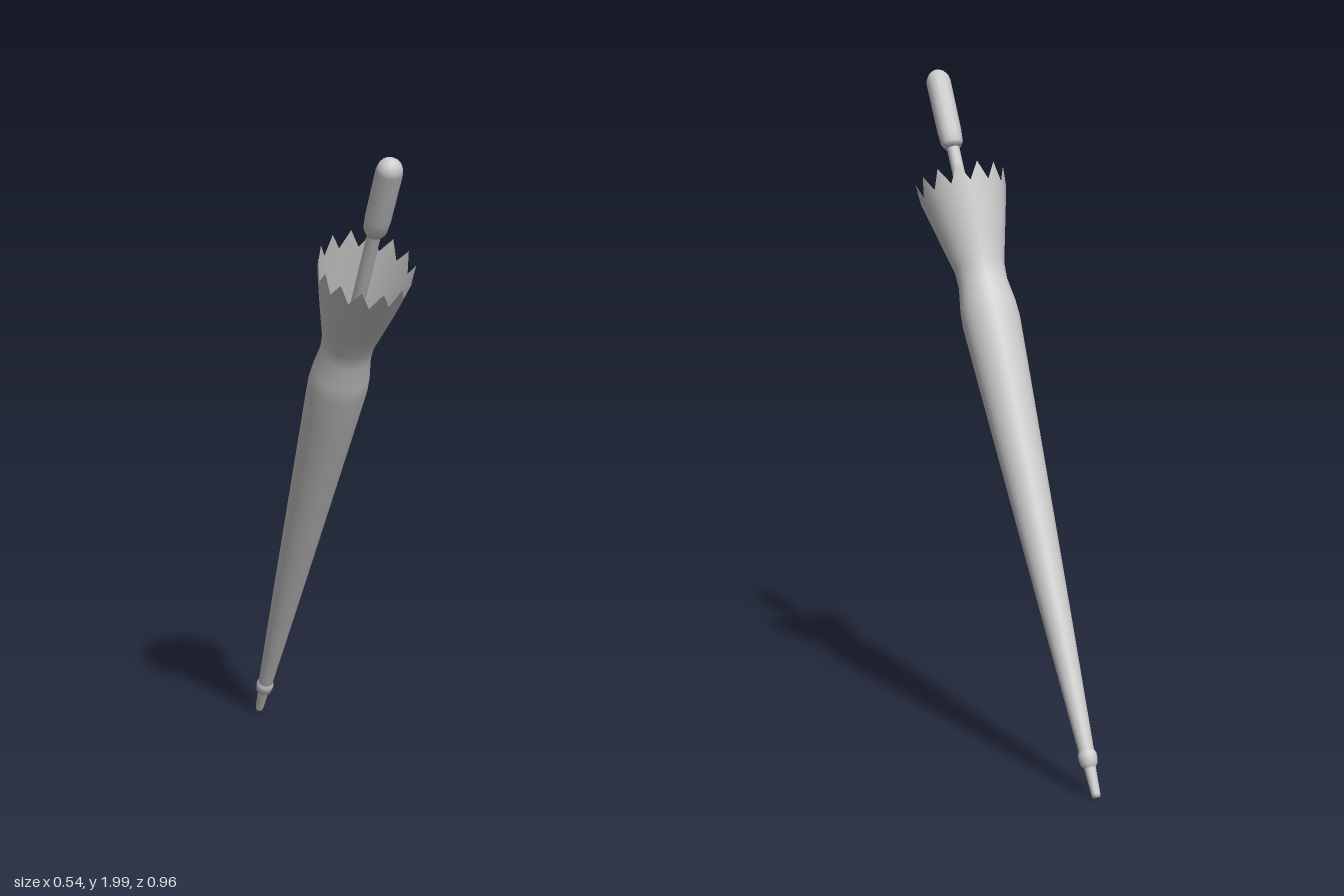
import * as THREE from 'three';

const SEGMENTS = 28;
const grey = new THREE.MeshStandardMaterial({ color: 0xcccccc });
const cloth = new THREE.MeshStandardMaterial({ color: 0xcccccc, side: THREE.DoubleSide });

// Profiles are [radius, distance along the shaft] from the tip upwards
function lathe(name, profile, segments, material = grey) {
  const points = profile.map(([r, t]) => new THREE.Vector2(r, t));
  const mesh = new THREE.Mesh(new THREE.LatheGeometry(points, segments), material);
  mesh.name = name;
  return mesh;
}

// Folded cloth, pinched at the strap, with a zigzag hem
function makeCanopy() {
  const profile = [
    [0.021, 0.11], [0.041, 0.5], [0.063, 0.95], [0.08, 1.3], [0.086, 1.43], [0.083, 1.48],
    [0.073, 1.55], [0.075, 1.6], [0.092, 1.67], [0.111, 1.75], [0.13, 1.83],
  ];
  const canopy = lathe('canopy', profile, SEGMENTS, cloth);
  const pos = canopy.geometry.attributes.position;
  const rows = profile.length;
  for (let s = 0; s <= SEGMENTS; s++) {
    if (s % 2) continue;
    const i = s * rows + rows - 1;
    pos.setXYZ(i, pos.getX(i) * 1.05, 1.885, pos.getZ(i) * 1.05);
  }
  canopy.geometry.computeBoundingSphere();
  return canopy;
}

// Rounded grip
function makeHandle() {
  const profile = [[0, 1.985], [0.024, 1.985], [0.033, 2.0], [0.036, 2.04], [0.037, 2.2]];
  for (let k = 1; k <= 4; k++) {
    const a = (k / 4) * Math.PI / 2;
    profile.push([0.037 * Math.cos(a), 2.2 + 0.04 * Math.sin(a)]);
  }
  return lathe('handle', profile, 12);
}

export function createModel() {
  const group = new THREE.Group();
  group.name = 'closedUmbrella';
  const body = new THREE.Group();
  body.name = 'umbrella';

  body.add(lathe('tip', [[0, 0], [0.011, 0], [0.013, 0.01], [0.018, 0.11]], 12));
  body.add(lathe('collar', [[0.016, 0.085], [0.024, 0.095], [0.027, 0.112], [0.027, 0.124], [0.022, 0.135]], 16));
  body.add(makeCanopy());
  body.add(lathe('shaft', [[0.019, 0.11], [0.019, 2.0]], 12));
  body.add(makeHandle());

  // Lean the whole umbrella along its shaft direction
  const direction = new THREE.Vector3(0.209, 0.887, 0.414).normalize();
  body.quaternion.setFromUnitVectors(new THREE.Vector3(0, 1, 0), direction);
  body.position.set(-0.255, 0.006, -0.466);
  group.add(body);
  return group;
}
